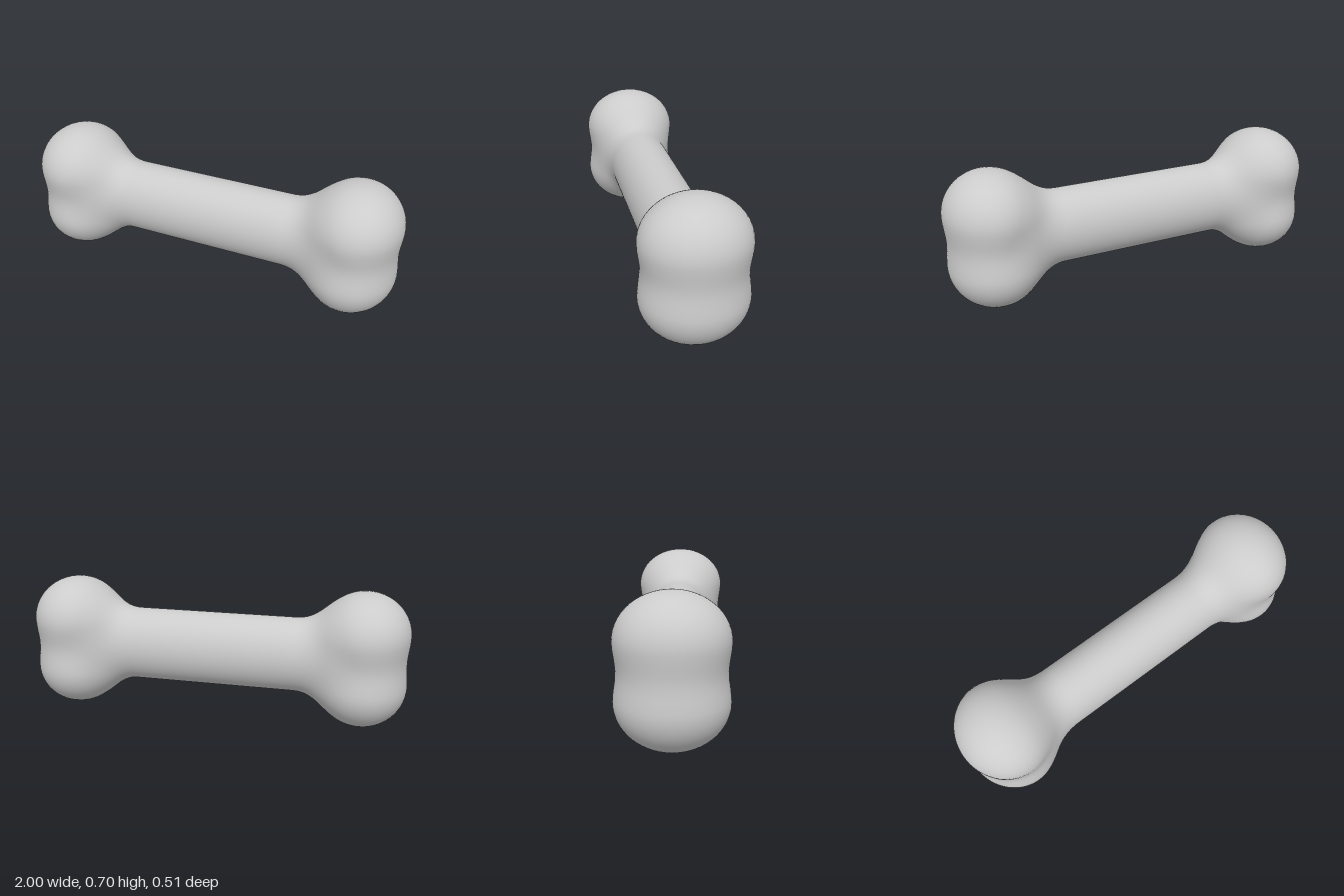
import * as THREE from 'three';

const MID = 0.355;    // height of the bone's long axis
const KNOB_X = 0.77;  // distance of the knobs from the middle

// Approximate signed distance to an ellipsoid, given the offset from its centre
function ellipsoid(x, y, z, rx, ry, rz) {
  const k0 = Math.hypot(x / rx, y / ry, z / rz);
  const k1 = Math.hypot(x / rx ** 2, y / ry ** 2, z / rz ** 2);
  return k1 < 1e-6 ? -Math.min(rx, ry, rz) : k0 * (k0 - 1) / k1;
}

// Union with a soft fillet of width k
function blend(a, b, k) {
  const h = Math.max(k - Math.abs(a - b), 0) / k;
  return Math.min(a, b) - h * h * k / 4;
}

// Bone field: an oval shaft blended into a pair of knobs at each end
function field(p) {
  const x = Math.abs(p.x), y = Math.abs(p.y - MID), z = p.z;
  const upper = ellipsoid(x - KNOB_X, y - 0.132, z, 0.229, 0.219, 0.256);
  const lower = ellipsoid(x - KNOB_X, y + 0.132, z, 0.229, 0.219, 0.256);
  const shaft = ellipsoid(Math.max(x - 0.6, 0), y, z, 0.16, 0.195, 0.163);
  return blend(blend(upper, lower, 0.12), shaft, 0.13);
}

// Distance from the axis to the surface along a ray, by bisection
function reach(origin, dir) {
  const p = new THREE.Vector3();
  let lo = 0, hi = 0.6;
  for (let i = 0; i < 26; i++) {
    const m = (lo + hi) / 2;
    if (field(p.copy(origin).addScaledVector(dir, m)) < 0) lo = m; else hi = m;
  }
  return lo;
}

// Outward surface normal from the slope of the field
function slope(p) {
  const e = 0.002;
  const g = ['x', 'y', 'z'].map((axis) => {
    const a = p.clone(), b = p.clone();
    a[axis] += e;
    b[axis] -= e;
    return field(a) - field(b);
  });
  return new THREE.Vector3(...g).normalize();
}

export function createModel() {
  const CAP = 32, BODY = 100, SIDES = 80;

  // Rings: rays fan out at the two ends and stand square to the axis between
  const rings = [];
  for (let i = 0; i < CAP; i++) rings.push([-KNOB_X, -Math.PI / 2 * (1 - i / CAP)]);
  for (let i = 0; i <= BODY; i++) rings.push([KNOB_X * (2 * i / BODY - 1), 0]);
  for (let i = 1; i <= CAP; i++) rings.push([KNOB_X, Math.PI / 2 * i / CAP]);

  const positions = [], normals = [], index = [];
  rings.forEach(([x, tilt], r) => {
    const origin = new THREE.Vector3(x, MID, 0);
    for (let s = 0; s < SIDES; s++) {
      const a = s / SIDES * Math.PI * 2;
      const dir = new THREE.Vector3(
        Math.sin(tilt), Math.cos(tilt) * Math.cos(a), Math.cos(tilt) * Math.sin(a));
      const p = origin.clone().addScaledVector(dir, reach(origin, dir));
      positions.push(p.x, p.y, p.z);
      normals.push(...slope(p).toArray());
      if (r === rings.length - 1) continue;
      const i = r * SIDES + s, j = r * SIDES + (s + 1) % SIDES;
      index.push(i, j, i + SIDES, j, j + SIDES, i + SIDES);
    }
  });

  const geometry = new THREE.BufferGeometry();
  geometry.setAttribute('position', new THREE.Float32BufferAttribute(positions, 3));
  geometry.setAttribute('normal', new THREE.Float32BufferAttribute(normals, 3));
  geometry.setIndex(index);

  const bone = new THREE.Mesh(geometry, new THREE.MeshStandardMaterial({ color: 0xcccccc }));
  bone.name = 'bone';
  const group = new THREE.Group();
  group.name = 'dogBone';
  group.add(bone);
  return group;
}
